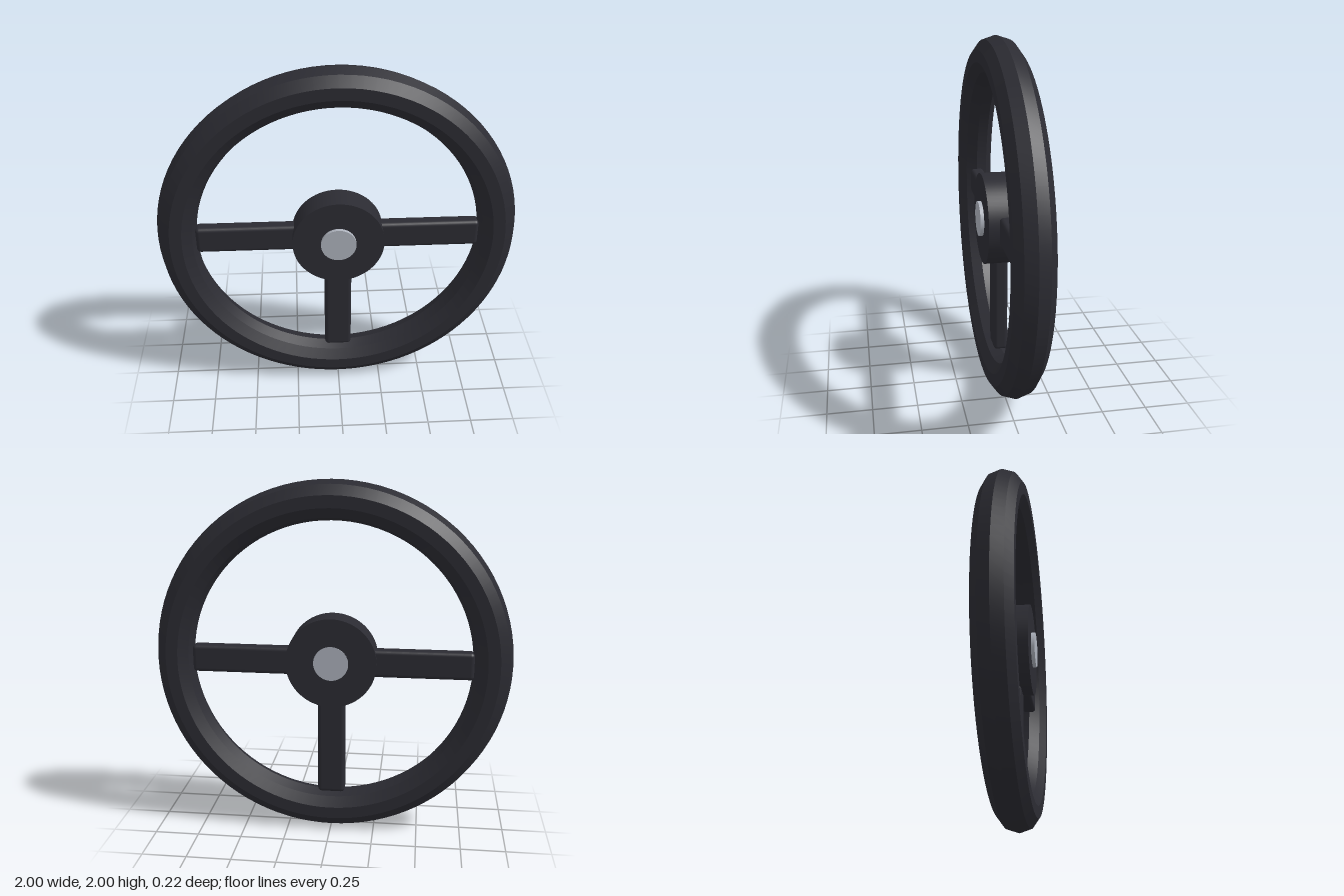
import * as THREE from 'three';
import { RoundedBoxGeometry } from 'three/addons/geometries/RoundedBoxGeometry.js';
import { toCreasedNormals } from 'three/addons/utils/BufferGeometryUtils.js';

export function createModel() {
  const model = new THREE.Group();
  model.name = 'steeringWheel';

  const black = new THREE.MeshStandardMaterial({ color: 0x2b2b32 });
  black.name = 'black grip';
  const silver = new THREE.MeshStandardMaterial({ color: 0xadb2bc });
  silver.name = 'silver cap';

  // Everything is laid out around the wheel's axis
  const wheel = new THREE.Group();
  wheel.name = 'wheel';
  wheel.position.set(0, 1, -0.008);
  model.add(wheel);

  const add = (name, geometry, material, parent = wheel) => {
    const mesh = new THREE.Mesh(geometry, material);
    mesh.name = name;
    parent.add(mesh);
    return mesh;
  };

  // Disc whose axis runs from z = back to z = front
  const disc = (radius, back, front) =>
    new THREE.CylinderGeometry(radius, radius, front - back, 64)
      .rotateX(Math.PI / 2)
      .translate(0, 0, (front + back) / 2);

  // Ten-sided grip, smooth around the wheel and creased across the section
  add('rim', toCreasedNormals(new THREE.TorusGeometry(0.892, 0.108, 10, 96), 0.5), black);

  // Hub with a metal cap running through it
  add('hub', disc(0.255, -0.057, 0.098), black);
  add('centreCap', disc(0.098, -0.058, 0.118), silver);

  // Three softly rounded spokes: left, right and bottom
  const spokeGeometry = new RoundedBoxGeometry(0.65, 0.156, 0.08, 4, 0.022);
  spokeGeometry.translate(0.465, 0, 0);
  const spokes = { leftSpoke: 0, rightSpoke: Math.PI, bottomSpoke: -Math.PI / 2 };
  for (const [name, angle] of Object.entries(spokes)) {
    add(name, spokeGeometry, black).rotation.z = angle;
  }

  return model;
}
